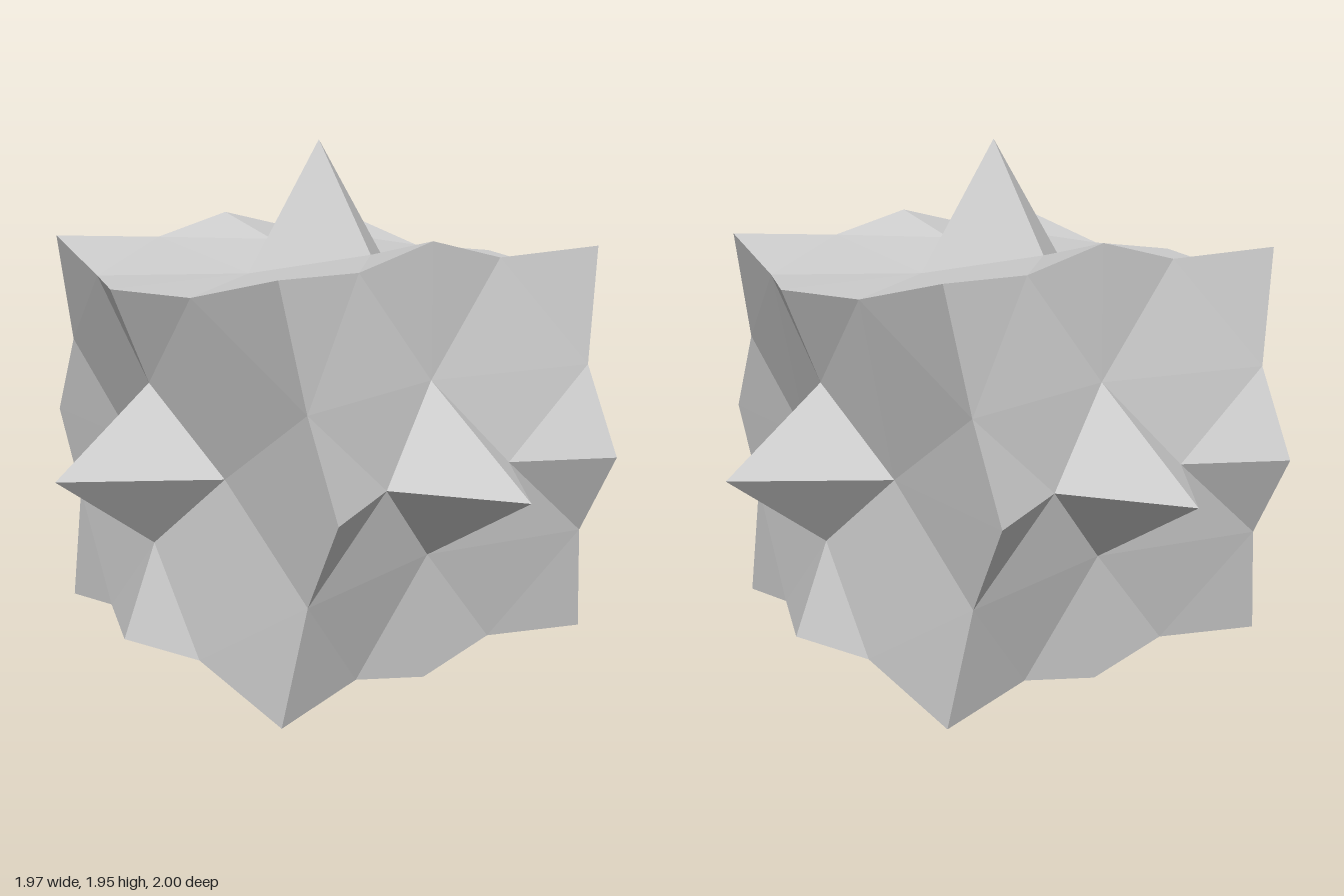
import * as THREE from 'three';

// Per-axis sizes [x, y, z]: spike tip, long side of ridge peaks, ridge notches and spike feet
const TIP = [0.985, 0.975, 1.0];
const PEAK = [0.775, 0.70, 0.83];
const NOTCH = [0.67, 0.63, 0.69];
const FOOT = [0.655, 0.63, 0.66];
const FOOT_OFFSET = [0.26, 0.27, 0.25];
const CORNER = [0.625, 0.65, 0.65];
const SHORT = 0.56, STEP = 0.28;

// Triangles of one quarter of the face whose outward axis is n
function quarterFace(n) {
  const u = (n + 1) % 3, v = (n + 2) % 3;
  const at = (pu, pv, pn) => {
    const p = [0, 0, 0];
    p[u] = pu; p[v] = pv; p[n] = pn;
    return p;
  };
  const tip = at(0, 0, TIP[n]);
  const footU = at(FOOT_OFFSET[n], 0, FOOT[n]);
  const footV = at(0, STEP, 0.565);
  const peakU = at(SHORT, 0, PEAK[n]);
  const peakV = at(0, PEAK[v], SHORT);
  const notchU = at(SHORT, STEP, NOTCH[n]);
  const notchV = at(STEP, NOTCH[v], SHORT);
  return {
    spike: [[tip, footU, footV]],
    body: [
      [footU, peakU, notchU],
      [footV, notchV, peakV],
      [footU, notchU, footV],
      [notchU, notchV, footV],
      [notchU, CORNER, notchV],
    ],
  };
}

// Mirror triangles by signs, turning them over when the mirroring is odd
function mirror(triangles, s) {
  const odd = s[0] * s[1] * s[2] < 0;
  return triangles.flatMap(([a, b, c]) =>
    (odd ? [a, c, b] : [a, b, c]).flatMap((p) => p.map((value, i) => value * s[i])));
}

function facetedMesh(name, positions, material) {
  const geometry = new THREE.BufferGeometry();
  geometry.setAttribute('position', new THREE.Float32BufferAttribute(positions, 3));
  geometry.computeVertexNormals();
  const mesh = new THREE.Mesh(geometry, material);
  mesh.name = name;
  mesh.position.y = TIP[1];
  return mesh;
}

export function createModel() {
  const group = new THREE.Group();
  group.name = 'spikedCrystal';
  const material = new THREE.MeshStandardMaterial({ color: 0xcccccc, flatShading: true });
  const body = [];
  const signs = [1, -1];

  for (let n = 0; n < 3; n++) {
    const quarter = quarterFace(n);
    const u = (n + 1) % 3, v = (n + 2) % 3;
    for (const side of signs) {
      // Four-sided spike in the middle of each face
      const spike = [];
      for (const su of signs) for (const sv of signs) {
        const s = [0, 0, 0];
        s[n] = side; s[u] = su; s[v] = sv;
        spike.push(...mirror(quarter.spike, s));
        body.push(...mirror(quarter.body, s));
      }
      const face = (side > 0 ? ['left', 'top', 'front'] : ['right', 'bottom', 'back'])[n];
      group.add(facetedMesh(face + 'Spike', spike, material));
    }
  }

  // Faceted body with ridge peaks and pointed corners
  group.add(facetedMesh('body', body, material));
  return group;
}
